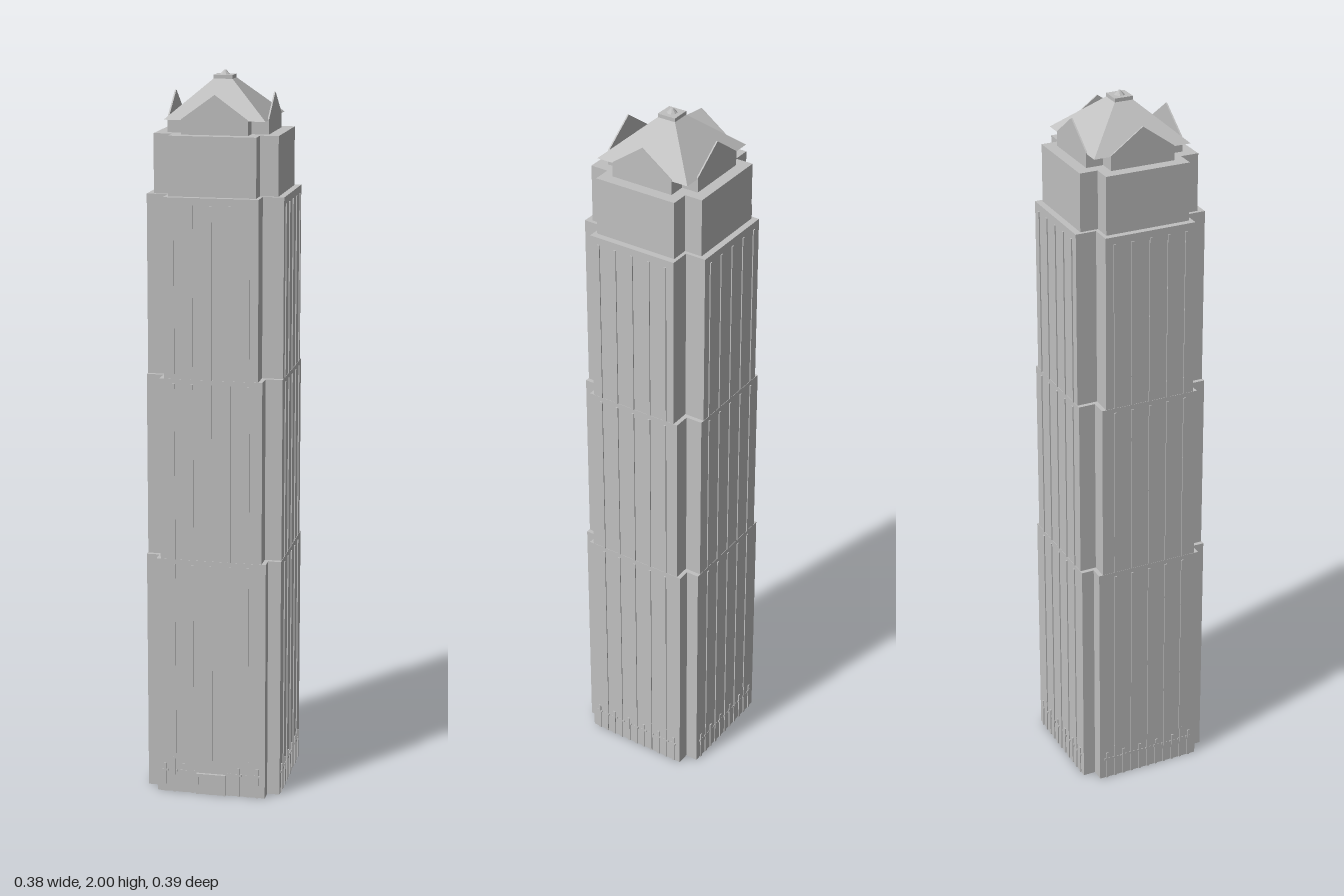
import * as THREE from 'three';

const stone = new THREE.MeshStandardMaterial({ color: 0xc0c0c0 });
stone.name = 'grey stone';

function add(parent, name, geometry, x = 0, y = 0, z = 0) {
  const mesh = new THREE.Mesh(geometry, stone);
  mesh.name = name;
  mesh.position.set(x, y, z);
  parent.add(mesh);
  return mesh;
}

// Cross-shaped storey block: arms reach out to r and are 2 * w wide
function crossBlock(parent, name, r, w, y0, y1) {
  const s = new THREE.Shape();
  const pts = [[w, r], [w, w], [r, w], [r, -w], [w, -w], [w, -r],
    [-w, -r], [-w, -w], [-r, -w], [-r, w], [-w, w], [-w, r]];
  s.setFromPoints(pts.reverse().map(([x, y]) => new THREE.Vector2(x, y)));
  const g = new THREE.ExtrudeGeometry(s, { depth: y1 - y0, bevelEnabled: false });
  g.rotateX(-Math.PI / 2);
  add(parent, name, g, 0, y0, 0);
}

// Box standing on y0, with its back sunk slightly into a wall at distance r
function onWall(parent, name, x, w, y0, y1, r, out) {
  add(parent, name, new THREE.BoxGeometry(w, y1 - y0, out + 0.004), x, (y0 + y1) / 2, r + (out - 0.004) / 2);
}

// Four-sided frustum with flat faces
function frustum(rTop, rBottom, h, sides, turn) {
  const g = new THREE.CylinderGeometry(rTop, rBottom, h, sides).rotateY(turn).toNonIndexed();
  g.computeVertexNormals();
  return g;
}

export function createModel() {
  const model = new THREE.Group();
  model.name = 'tower';
  const body = new THREE.Group();
  body.name = 'towerBody';
  body.position.z = -0.003;
  model.add(body);

  // Shaft in three narrowing stages, crown and attic
  const stages = [
    { name: 'lowerShaft', r: 0.1885, w: 0.153, y0: 0, y1: 0.683, ribs: [0.1, 0.67] },
    { name: 'middleShaft', r: 0.1875, w: 0.141, y0: 0.683, y1: 1.19, ribs: [0.683, 1.177] },
    { name: 'upperShaft', r: 0.1865, w: 0.129, y0: 1.19, y1: 1.68, ribs: [1.19, 1.66] },
  ];
  for (const s of stages) crossBlock(body, s.name, s.r, s.w, s.y0, s.y1);
  crossBlock(body, 'crown', 0.169, 0.119, 1.68, 1.84);
  crossBlock(body, 'attic', 0.134, 0.09, 1.84, 1.88);

  // Gable outline rising from the attic wall
  const gable = new THREE.Shape();
  gable.moveTo(-0.09, 1.84);
  gable.lineTo(0.09, 1.84);
  gable.lineTo(0.09, 1.88);
  gable.lineTo(0, 1.945);
  gable.lineTo(-0.09, 1.88);
  gable.closePath();
  const gableGeometry = new THREE.ExtrudeGeometry(gable, { depth: 0.004, bevelEnabled: false });

  // Details repeated on the four sides
  for (let i = 0; i < 4; i++) {
    const side = new THREE.Group();
    side.name = ['front', 'left', 'back', 'right'][i] + 'Side';
    side.rotation.y = i * Math.PI / 2;
    body.add(side);

    // Vertical ribs
    for (const s of stages) {
      for (const x of [-0.103, -0.052, 0, 0.052, 0.103]) {
        onWall(side, 'rib', x, 0.007, s.ribs[0], s.ribs[1], s.r, 0.003);
      }
    }
    // Ground floor piers and lintels, leaving room for the door in front
    for (let k = -5; k <= 5; k++) {
      const x = k * 0.0262;
      if (i === 0 && Math.abs(x) < 0.05) continue;
      onWall(side, 'pier', x, 0.007, 0, k % 2 ? 0.085 : 0.105, 0.1885, 0.003);
      onWall(side, 'lintel', x, 0.018, 0.06, 0.066, 0.1885, 0.002);
    }
    add(side, 'gable', gableGeometry, 0, 0, 0.1335);
  }

  // Entrance
  const door = new THREE.Group();
  door.name = 'entrance';
  body.add(door);
  onWall(door, 'doorBlock', 0, 0.07, 0, 0.052, 0.1885, 0.005);
  for (const x of [-0.038, 0, 0.038]) onWall(door, 'doorPost', x, 0.008, 0, 0.055, 0.1885, 0.008);
  onWall(door, 'doorCanopy', 0, 0.085, 0.052, 0.061, 0.1885, 0.008);

  // Hipped roof, cap and finial
  const q = Math.SQRT2;
  add(body, 'roof', frustum(0.026 * q, 0.137 * q, 0.1, 4, Math.PI / 4), 0, 1.928, 0);
  add(body, 'roofCap', new THREE.BoxGeometry(0.052, 0.012, 0.052), 0, 1.982, 0);
  add(body, 'finial', frustum(0.003, 0.014, 0.012, 8, Math.PI / 8), 0, 1.994, 0);

  return model;
}
